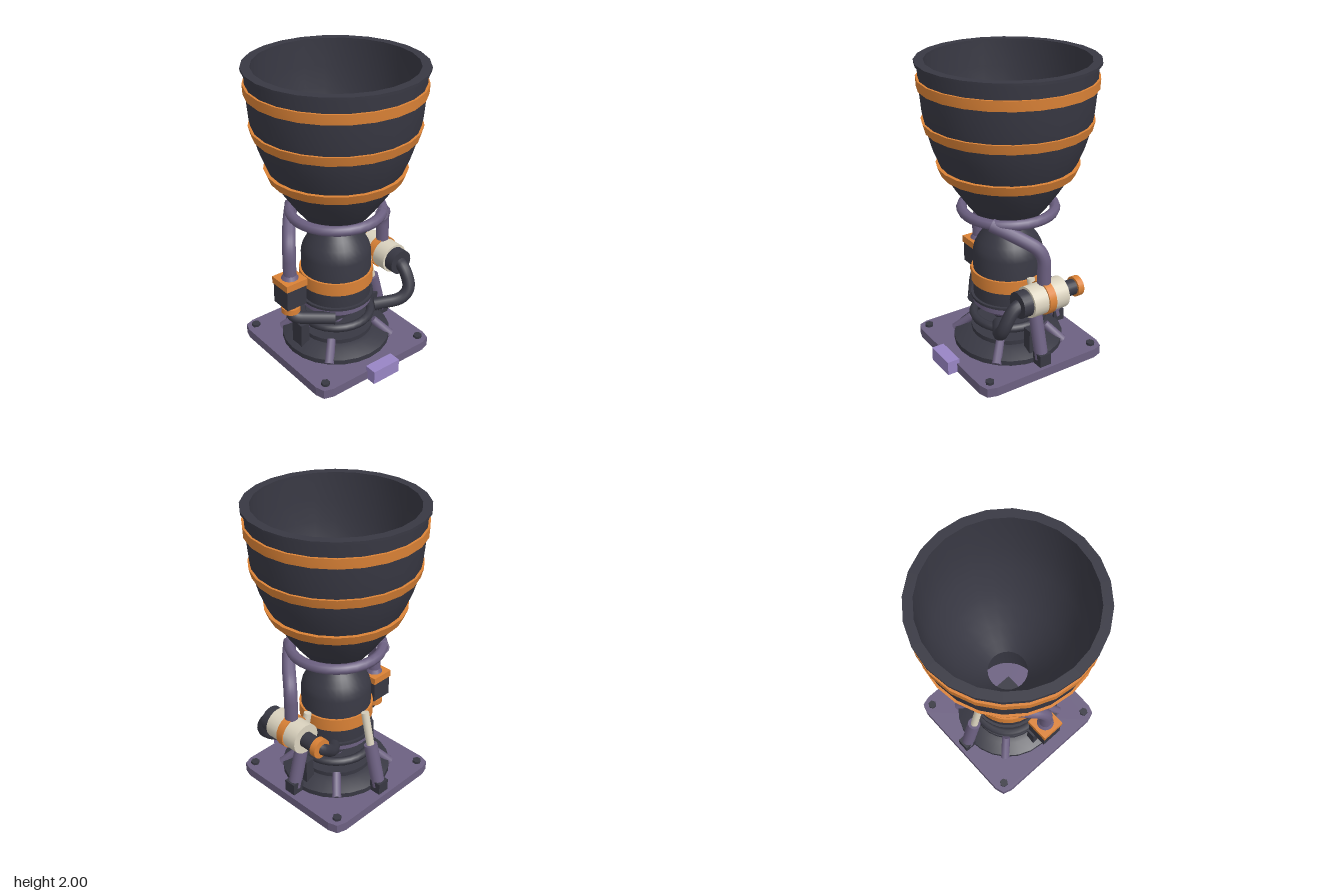
import * as THREE from 'three';
import { toCreasedNormals } from 'three/addons/utils/BufferGeometryUtils.js';

const mat = (name, color) => Object.assign(new THREE.MeshStandardMaterial({ color }), { name });
const V = (x, y, z) => new THREE.Vector3(x, y, z);

export function createModel() {
  const root = new THREE.Group();
  root.name = 'rocketEngine';
  const dark = mat('charcoal', 0x383843);
  const orange = mat('orange', 0xdb8236);
  const purple = mat('dusty purple', 0x6c6081);
  const lilac = mat('lilac', 0x9885c4);
  const cream = mat('cream', 0xdbd3bf);

  const add = (name, geo, m, x = 0, y = 0, z = 0) => {
    const mesh = new THREE.Mesh(geo, m);
    mesh.name = name;
    mesh.position.set(x, y, z);
    root.add(mesh);
    return mesh;
  };
  const box = (name, m, w, h, d, x, y, z) => add(name, new THREE.BoxGeometry(w, h, d), m, x, y, z);
  // Profile given as [radius, y], bottom to top for an outside surface
  const lathe = (name, m, pts, sides = 24) => add(name, toCreasedNormals(
    new THREE.LatheGeometry(pts.map(p => new THREE.Vector2(...p)), sides), 0.5), m);
  // Cylinder between two points
  const rod = (name, m, a, b, r0, r1 = r0, sides = 16) => {
    const dir = b.clone().sub(a);
    const mesh = add(name, new THREE.CylinderGeometry(r1, r0, dir.length(), sides), m);
    mesh.position.copy(a).add(b).multiplyScalar(0.5);
    mesh.quaternion.setFromUnitVectors(V(0, 1, 0), dir.normalize());
    return mesh;
  };
  // Pipe through points with rounded corners and closed ends
  const pipe = (name, m, pts, r, bend = 0.09) => {
    const path = new THREE.CurvePath();
    let from = pts[0];
    for (let i = 1; i < pts.length - 1; i++) {
      const p = pts[i];
      const cut = q => p.clone().lerp(q, Math.min(0.48, bend / p.distanceTo(q)));
      const a = cut(pts[i - 1]), b = cut(pts[i + 1]);
      path.add(new THREE.LineCurve3(from, a));
      path.add(new THREE.QuadraticBezierCurve3(a, p, b));
      from = b;
    }
    const end = pts[pts.length - 1];
    path.add(new THREE.LineCurve3(from, end));
    add(name, new THREE.TubeGeometry(path, 40, r, 12), m);
    [[pts[0], pts[1]], [end, pts[pts.length - 2]]].forEach(([p, q]) => {
      const cap = add(name + 'End', new THREE.CircleGeometry(r, 12), m);
      cap.position.copy(p);
      cap.quaternion.setFromUnitVectors(V(0, 0, 1), p.clone().sub(q).normalize());
    });
  };

  // Base plate with clipped corners, front tab and corner bolts
  const s = new THREE.Shape();
  for (let i = 0; i < 4; i++) {
    [[0.467, 0.385], [0.447, 0.447], [0.385, 0.467]].forEach(([x, y]) => {
      const p = new THREE.Vector2(x, y).rotateAround(new THREE.Vector2(), i * Math.PI / 2);
      if (s.curves.length || s.currentPoint.lengthSq()) s.lineTo(p.x, p.y);
      else s.moveTo(p.x, p.y);
    });
  }
  add('basePlate', new THREE.ExtrudeGeometry(s, { depth: 0.064, bevelEnabled: false }), purple).rotation.x = -Math.PI / 2;
  box('frontTab', lilac, 0.212, 0.095, 0.085, 0, 0.0475, 0.4925);
  for (const x of [-1, 1]) for (const z of [-1, 1]) {
    add('bolt', new THREE.CylinderGeometry(0.03, 0.03, 0.02, 6), dark, x * 0.4, 0.072, z * 0.4);
    // Slanted braces on the mounting ring
    rod('brace', purple, V(x * 0.265, 0.075, z * 0.265), V(x * 0.18, 0.185, z * 0.18), 0.032, 0.028, 8);
  }

  // Stepped mount, gimbal post, ring and side brackets
  lathe('mountRing', dark, [[0.37, 0.062], [0.37, 0.098], [0.285, 0.138], [0.25, 0.145], [0.25, 0.175], [0, 0.175]]);
  rod('gimbalPost', purple, V(0, 0.17, 0), V(0, 0.34, 0), 0.046);
  rod('gimbalCollar', dark, V(0, 0.285, 0), V(0, 0.325, 0), 0.08);
  box('gimbalBlock', dark, 0.16, 0.045, 0.16, 0, 0.245, 0);
  add('gimbalRing', new THREE.TorusGeometry(0.235, 0.029, 8, 32), dark, 0, 0.263, 0).rotation.x = Math.PI / 2;
  for (const x of [-1, 1]) {
    box('gimbalBracket', dark, 0.065, 0.18, 0.1, x * 0.298, 0.19, 0);
    rod('gimbalPin', purple, V(x * 0.2, 0.235, 0), V(x * 0.3, 0.235, 0), 0.025);
  }

  // Combustion chamber
  lathe('injectorDome', purple, [[0, 0.318], [0.18, 0.318], [0.237, 0.365], [0.237, 0.42]], 32);
  rod('domeFlange', dark, V(0, 0.405, 0), V(0, 0.422, 0), 0.25, 0.25, 32);
  lathe('chamber', dark, [[0, 0.42], [0.232, 0.42], [0.232, 0.735], [0.222, 0.775], [0.198, 0.822],
    [0.165, 0.868], [0.132, 0.91]], 32);
  lathe('chamberBand', orange, [[0.23, 0.522], [0.246, 0.522], [0.246, 0.61], [0.23, 0.61]], 32);
  rod('injectorFace', purple, V(0, 0.43, 0), V(0, 0.46, 0), 0.22, 0.22, 32);
  box('injectorBlock', dark, 0.155, 0.03, 0.155, 0, 0.47, 0);

  // Nozzle bell, outer and inner wall
  const bell = [[0.132, 0.91], [0.19, 0.98], [0.262, 1.07], [0.345, 1.19], [0.4, 1.285], [0.438, 1.37],
    [0.478, 1.47], [0.506, 1.57], [0.526, 1.68], [0.539, 1.83], [0.545, 1.985]];
  lathe('nozzleBell', dark, bell);
  lathe('nozzleInside', dark, bell.map(([r, y], i) => [r - 0.004 * i, y]).reverse().concat([[0.215, 0.78], [0.22, 0.45]]));
  lathe('nozzleLip', dark, [[0.54, 1.983], [0.563, 1.983], [0.563, 2], [0.505, 2], [0.505, 1.983]]);
  [[1.838, 0.553, 1.9, 0.556], [1.577, 0.518, 1.637, 0.534], [1.287, 0.427, 1.35, 0.453]].forEach(([y0, r0, y1, r1]) =>
    lathe('nozzleBand', orange, [[r0 - 0.03, y0], [r0, y0], [r1, y1], [r1 - 0.03, y1]]));

  // Coolant manifold and feed pipes
  add('manifold', new THREE.TorusGeometry(0.3, 0.034, 8, 32), purple, 0, 1.038, 0).rotation.x = Math.PI / 2;
  pipe('pumpFeedPipe', purple, [V(0.18, 1.035, 0.24), V(0.3, 0.97, 0.13), V(0.405, 0.88, 0), V(0.405, 0.6, 0)], 0.043);
  pipe('valveFeedPipe', purple, [V(-0.18, 1.035, -0.24), V(-0.28, 0.97, -0.13), V(-0.375, 0.88, 0), V(-0.375, 0.65, 0)], 0.043);

  // Turbopump lying along z on the left side
  const px = 0.405, py = 0.565;
  const drum = (name, m, z0, z1, r) => rod(name, m, V(px, py, z0), V(px, py, z1), r, r, 20);
  drum('pumpBody', cream, -0.13, 0.13, 0.102);
  drum('pumpBand', orange, -0.026, 0.026, 0.111);
  drum('pumpInlet', dark, 0.12, 0.198, 0.086);
  drum('pumpNeck', dark, -0.24, -0.12, 0.052);
  drum('pumpFlange', orange, -0.272, -0.23, 0.066);
  pipe('frontPumpPipe', dark, [V(px, py, 0.17), V(px, 0.54, 0.235), V(px, 0.42, 0.3), V(0.34, 0.345, 0.29),
    V(0.18, 0.318, 0.19)], 0.043, 0.07);
  pipe('backPumpPipe', dark, [V(px, py, -0.23), V(0.39, 0.555, -0.262), V(0.27, 0.45, -0.23), V(0.14, 0.38, -0.12)], 0.043, 0.06);

  // Valve box on the right side with its outlet pipe
  const vx = -0.375;
  rod('valveCollar', purple, V(vx, 0.655, 0), V(vx, 0.685, 0), 0.06, 0.043);
  box('valveCap', orange, 0.162, 0.048, 0.162, vx, 0.636, 0);
  box('valveBox', dark, 0.15, 0.142, 0.15, vx, 0.541, 0);
  rod('valveNeck', dark, V(vx, 0.43, 0), V(vx, 0.475, 0), 0.045);
  rod('valveFlange', orange, V(vx, 0.404, 0), V(vx, 0.442, 0), 0.063);
  pipe('valvePipe', dark, [V(vx, 0.42, 0), V(vx, 0.365, 0.03), V(-0.15, 0.345, 0.18)], 0.043, 0.06);

  // Steering actuators at the left and the back
  for (const at of [d => V(d, 0, 0), d => V(0, 0, -d)]) {
    const P = (d, y) => at(d).setY(y);
    const foot = at(0.4);
    box('actuatorFoot', dark, 0.085, 0.085, 0.085, foot.x, 0.105, foot.z);
    rod('actuatorBody', purple, P(0.398, 0.1), P(0.318, 0.4), 0.045);
    rod('actuatorRod', cream, P(0.318, 0.39), P(0.262, 0.63), 0.026);
  }
  return root;
}
